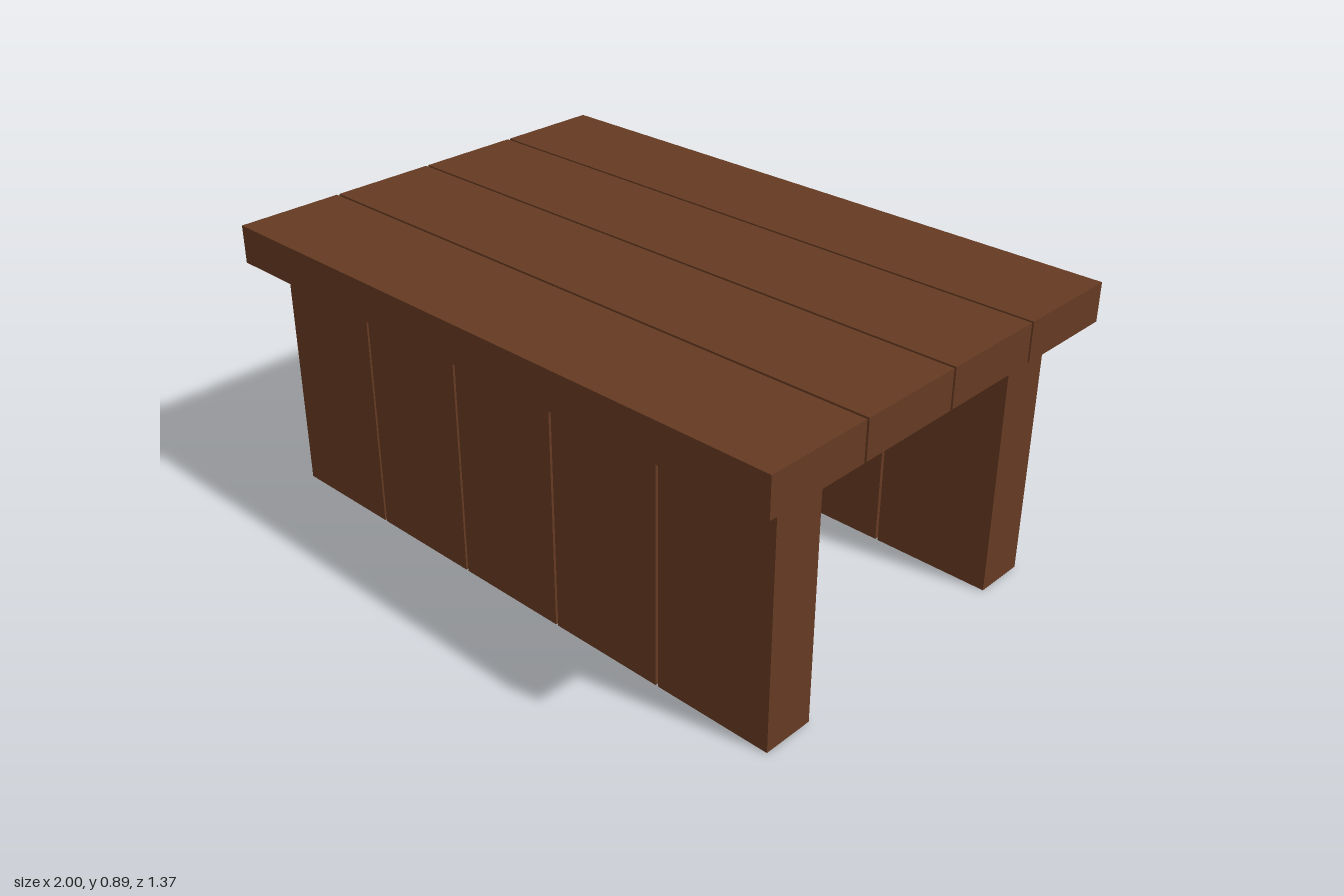
import * as THREE from 'three';

export function createModel() {
  const model = new THREE.Group();
  const wood = new THREE.MeshStandardMaterial({ color: 0x653a22 });
  wood.name = 'brown wood';

  // Box plank given by its minimum and maximum corners
  function plank(name, parent, [x0, y0, z0], [x1, y1, z1]) {
    const mesh = new THREE.Mesh(new THREE.BoxGeometry(x1 - x0, y1 - y0, z1 - z0), wood);
    mesh.position.set((x0 + x1) / 2, (y0 + y1) / 2, (z0 + z1) / 2);
    mesh.name = name;
    parent.add(mesh);
  }

  const legHeight = 0.773, topHeight = 0.89, gap = 0.0085;

  // Table top: four long planks side by side
  const top = new THREE.Group();
  top.name = 'tableTop';
  const depth = 1.37, topWidth = (depth - 3 * gap) / 4;
  for (let i = 0; i < 4; i++) {
    const z = -depth / 2 + i * (topWidth + gap);
    plank('topPlank' + (i + 1), top, [-1, legHeight, z], [1, topHeight, z + topWidth]);
  }
  model.add(top);

  // Front and back walls: five upright planks each, set slightly towards -x
  const left = -0.973, right = 0.924, wallWidth = (right - left - 4 * gap) / 5;
  for (const [name, z0, z1] of [['front', 0.401, 0.565], ['back', -0.551, -0.387]]) {
    const wall = new THREE.Group();
    wall.name = name + 'Wall';
    for (let i = 0; i < 5; i++) {
      const x = left + i * (wallWidth + gap);
      plank(name + 'Plank' + (i + 1), wall, [x, 0, z0], [x + wallWidth, legHeight, z1]);
    }
    model.add(wall);
  }
  return model;
}
